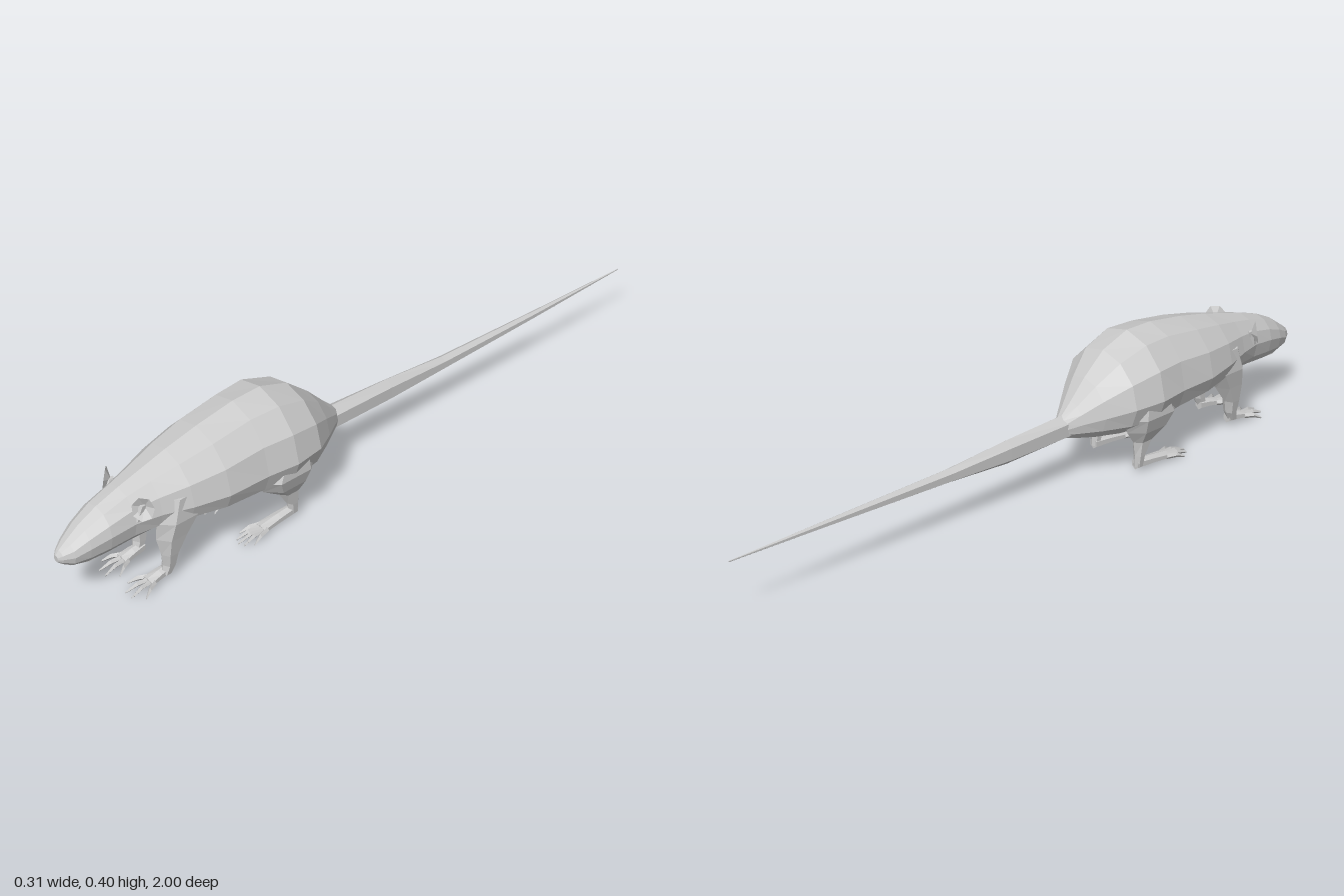
import * as THREE from 'three';

const material = new THREE.MeshStandardMaterial({ color: 0xcccccc, flatShading: true });
const earMaterial = new THREE.MeshStandardMaterial({ color: 0xcccccc, flatShading: true, side: THREE.DoubleSide });

// Skins a list of rings (equal point counts) and closes both ends with a fan.
function loft(name, rings) {
  const n = rings[0].length, pos = [], idx = [];
  rings.forEach(r => r.forEach(p => pos.push(...p)));
  for (let i = 0; i < rings.length - 1; i++) {
    for (let j = 0; j < n; j++) {
      const k = (j + 1) % n, a = i * n, b = a + n;
      idx.push(a + j, a + k, b + k, a + j, b + k, b + j);
    }
  }
  const last = (rings.length - 1) * n;
  for (let j = 1; j < n - 1; j++) {
    idx.push(0, j + 1, j, last, last + j, last + j + 1);
  }
  const g = new THREE.BufferGeometry();
  g.setAttribute('position', new THREE.Float32BufferAttribute(pos, 3));
  g.setIndex(idx);
  const flat = g.toNonIndexed();
  flat.computeVertexNormals();
  const mesh = new THREE.Mesh(flat, material);
  mesh.name = name;
  return mesh;
}

// Upright ring across z, with separate heights above and below its widest line.
function crossRing(n, x, y, z, rx, up, down = up) {
  return Array.from({ length: n }, (_, i) => {
    const a = Math.PI / 2 + i * 2 * Math.PI / n, s = Math.sin(a);
    return [x + rx * Math.cos(a), y + s * (s > 0 ? up : down), z];
  });
}

// Level ring for legs; tilt raises the ring toward its outer side.
function levelRing(n, x, y, z, rx, rz, tilt = 0) {
  return Array.from({ length: n }, (_, i) => {
    const a = (i + 0.5) * 2 * Math.PI / n;
    return [x + rx * Math.cos(a), y + tilt * Math.cos(a), z - rz * Math.sin(a)];
  });
}

// Sole, heel and a fan of bent toes
function makeFoot(name, side, x, heelZ, ballZ, toeZ, spread, toes) {
  const foot = new THREE.Group();
  foot.name = name;
  foot.add(loft('sole', [
    crossRing(6, side * x, 0.028, heelZ, 0.014, 0.014, 0.018),
    crossRing(6, side * x, 0.024, (heelZ + ballZ) / 2, 0.018, 0.012, 0.014),
    crossRing(6, side * x, 0.018, ballZ, 0.022, 0.009, 0.011),
  ]));
  for (let i = 0; i < toes; i++) {
    const t = i / (toes - 1) * 2 - 1;
    const tip = toeZ - 0.03 * t * t, start = ballZ - 0.012;
    const at = f => side * x + t * (0.015 + (spread - 0.015) * f);
    foot.add(loft('toe', [
      crossRing(4, at(0), 0.018, start, 0.008, 0.008),
      crossRing(4, at(0.55), 0.017, start + (tip - start) * 0.55, 0.006, 0.008),
      crossRing(4, at(1), 0.006, tip, 0.002, 0.003),
    ]));
  }
  return foot;
}

export function createModel() {
  const model = new THREE.Group();
  model.name = 'rat';

  // Body and head: z, top, widest height, bottom, half width
  const sections = [
    [0.09, 0.21, 0.18, 0.15, 0.022],
    [0.13, 0.25, 0.195, 0.138, 0.052],
    [0.18, 0.305, 0.21, 0.128, 0.09],
    [0.25, 0.367, 0.23, 0.12, 0.138],
    [0.34, 0.4, 0.235, 0.112, 0.155],
    [0.43, 0.398, 0.235, 0.125, 0.143],
    [0.55, 0.378, 0.232, 0.137, 0.137],
    [0.65, 0.355, 0.235, 0.15, 0.115],
    [0.73, 0.332, 0.237, 0.157, 0.088],
    [0.8, 0.312, 0.235, 0.15, 0.071],
    [0.87, 0.288, 0.225, 0.146, 0.064],
    [0.925, 0.26, 0.21, 0.146, 0.051],
    [0.965, 0.231, 0.195, 0.155, 0.037],
    [0.99, 0.212, 0.192, 0.17, 0.02],
    [1.0, 0.2, 0.19, 0.18, 0.009],
  ];
  model.add(loft('body', sections.map(([z, top, mid, low, w]) =>
    crossRing(12, 0, mid, z, w, top - mid, mid - low))));

  // Lower jaw
  model.add(loft('lowerJaw', [
    crossRing(6, 0, 0.165, 0.83, 0.035, 0.015, 0.017),
    crossRing(6, 0, 0.16, 0.92, 0.03, 0.014, 0.017),
    crossRing(6, 0, 0.162, 0.968, 0.014, 0.008, 0.009),
  ]));

  // Tail, tapering to a point
  model.add(loft('tail', [
    [0.018, 0.18, -1.0, 0.001, 0.002],
    [0.014, 0.175, -0.65, 0.01, 0.011],
    [0.008, 0.171, -0.3, 0.018, 0.021],
    [0.003, 0.173, -0.1, 0.024, 0.036],
    [0, 0.18, 0.13, 0.032, 0.038],
  ].map(([x, y, z, rx, ry]) => crossRing(6, x, y, z, rx, ry))));

  for (const side of [1, -1]) {
    const label = side > 0 ? 'left' : 'right';

    // Ear: a shallow cup facing forward and outward
    const cup = new THREE.CircleGeometry(0.036, 7, 0.3);
    const p = cup.attributes.position;
    p.setZ(0, -0.018);
    for (let i = 1; i < p.count; i++) p.setX(i, p.getX(i) * 0.85);
    const ear = new THREE.Mesh(cup, earMaterial);
    ear.name = label + 'Ear';
    ear.position.set(side * 0.082, 0.281, 0.785);
    ear.rotation.set(-0.15, side * 0.75, -side * 0.15, 'YXZ');
    model.add(ear);

    // Ear root joining the cup to the head
    model.add(loft(label + 'EarRoot', [
      levelRing(5, side * 0.058, 0.24, 0.785, 0.018, 0.022),
      levelRing(5, side * 0.07, 0.285, 0.775, 0.007, 0.012),
    ]));

    // Front leg, from wrist up to shoulder
    model.add(loft(label + 'FrontLeg', [
      levelRing(6, side * 0.062, 0.022, 0.715, 0.016, 0.014),
      levelRing(6, side * 0.064, 0.05, 0.705, 0.02, 0.019),
      levelRing(6, side * 0.067, 0.09, 0.703, 0.025, 0.026),
      levelRing(6, side * 0.064, 0.145, 0.69, 0.038, 0.05),
      levelRing(6, side * 0.07, 0.2, 0.67, 0.042, 0.07),
      levelRing(6, side * 0.076, 0.27, 0.66, 0.03, 0.05),
    ]));
    model.add(makeFoot(label + 'FrontFoot', side, 0.057, 0.7, 0.77, 0.835, 0.04, 4));

    // Hind leg, from heel up to thigh
    model.add(loft(label + 'HindLeg', [
      levelRing(6, side * 0.086, 0.02, 0.31, 0.014, 0.014),
      levelRing(6, side * 0.088, 0.055, 0.312, 0.017, 0.017),
      levelRing(6, side * 0.088, 0.1, 0.322, 0.022, 0.034),
      levelRing(6, side * 0.092, 0.14, 0.335, 0.042, 0.075),
      levelRing(6, side * 0.1, 0.185, 0.34, 0.05, 0.1),
      levelRing(6, side * 0.1, 0.25, 0.33, 0.045, 0.07),
    ]));
    model.add(makeFoot(label + 'HindFoot', side, 0.085, 0.3, 0.42, 0.495, 0.032, 5));
  }
  return model;
}
